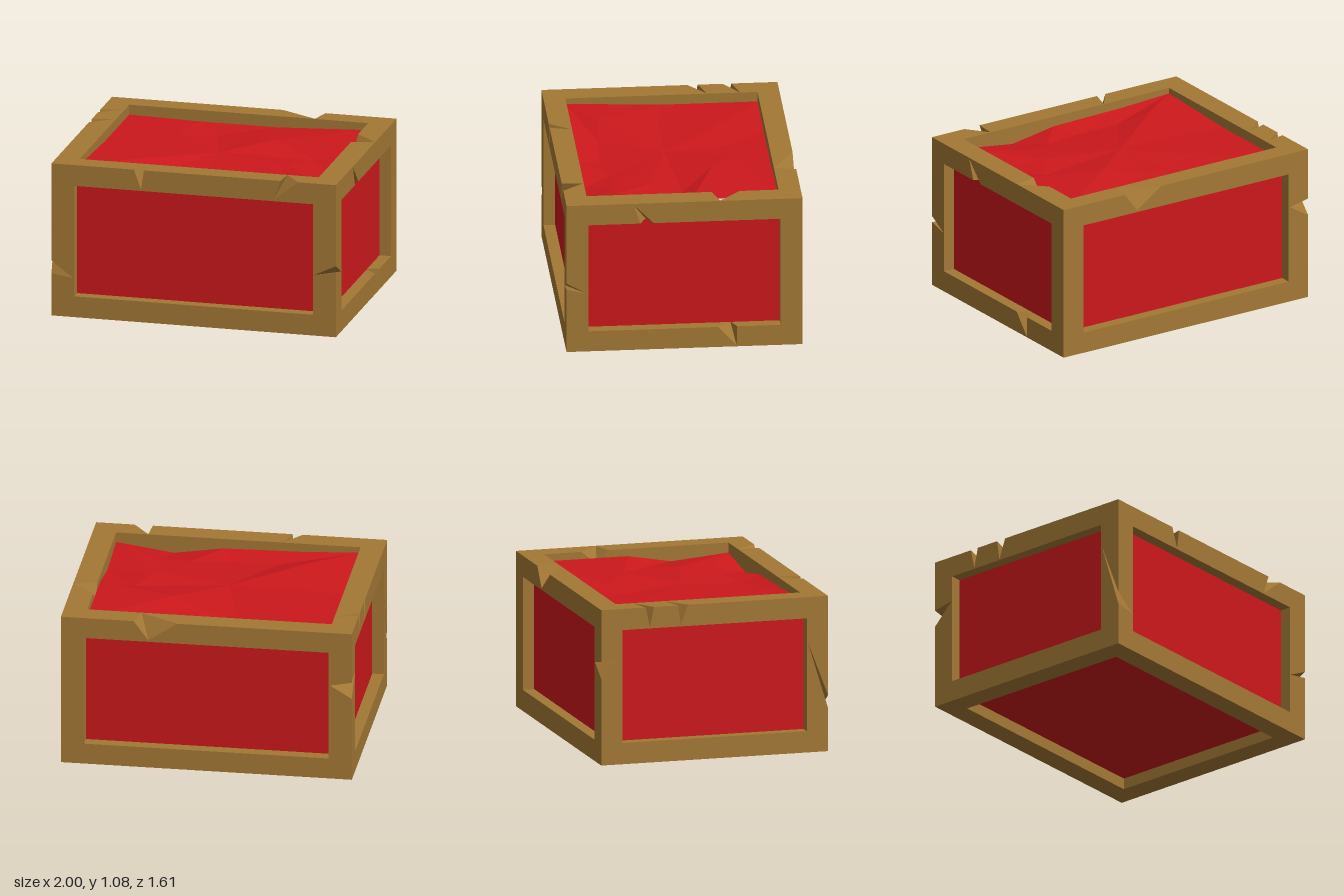
import * as THREE from 'three';

const V = (x, y, z) => new THREE.Vector3(x, y, z);
const H = V(1, 0.54, 0.805);          // half size of the frame
const O = V(0.84, 0.3925, 0.655);     // half size of the openings
const MID = V(0, 0.54, 0);
const AXES = ['x', 'y', 'z'];
const RECESS = 0.08, WALL = 0.14;

// Chips: p and q lie on an edge, a and b on the two faces that meet there
const [X, Y, Z] = [H.x, 1.08, H.z];
const [ox, yLo, yHi, oz] = [O.x, 0.54 - O.y, 0.54 + O.y, O.z];
const CHIPS = [
  // front top edge
  [V(-0.42, Y, Z), V(-0.35, Y, Z), V(-0.37, 0.94, Z), V(-0.31, Y, 0.66)],
  [V(0.61, Y, Z), V(0.735, Y, Z), V(0.56, 0.94, Z), V(0.62, Y, 0.66)],
  // back top edge
  [V(0.2, Y, -Z), V(0.5, Y, -Z), V(0.4, 0.945, -Z), V(0.465, Y, -0.66)],
  // side top edge
  [V(-X, Y, -0.49), V(-X, Y, -0.43), V(-0.845, Y, -0.535), V(-X, 0.94, -0.46)],
  [V(-X, Y, -0.26), V(-X, Y, -0.19), V(-0.845, Y, -0.31), V(-X, 0.94, -0.24)],
  // upright corners
  [V(X, 0.46, Z), V(X, 0.505, Z), V(0.845, 0.43, Z), V(X, 0.425, 0.66)],
  [V(-X, 0.3, Z), V(-X, 0.39, Z), V(-0.845, 0.275, Z), V(-X, 0.77, 0.66)],
  [V(-X, 0.6, -Z), V(-X, 0.72, -Z), V(-0.85, 0.69, -Z), V(-X, 0.75, -0.66)],
  // inner edges of the openings
  [V(X, yHi, 0.3), V(X, yHi, 0.21), V(X, 1.075, 0.35), V(X - 0.09, yHi, 0.26)],
  [V(X, yLo, -0.23), V(X, yLo, -0.36), V(X, 0.005, -0.355), V(X - 0.09, yLo, -0.32)],
  [V(ox, Y, -0.39), V(ox, Y, -0.2), V(0.995, Y, -0.24), V(ox, Y - 0.09, -0.28)],
];

const onSegment = (s, c, d) => Math.abs(s.distanceTo(c) + s.distanceTo(d) - c.distanceTo(d)) < 1e-6;

// Cut the chips out of a flat loop with normal n
function carve(loop, n) {
  const out = [];
  loop.forEach((c, i) => {
    const d = loop[(i + 1) % loop.length];
    out.push(c);
    CHIPS.filter(([p, q]) => onSegment(p, c, d) && onSegment(q, c, d))
      .sort((s, t) => s[0].distanceTo(c) - t[0].distanceTo(c))
      .forEach(([p, q, a, b]) => {
        const apex = Math.abs(a.clone().sub(c).dot(n)) < 1e-6 ? a : b;
        if (p.distanceTo(c) < q.distanceTo(c)) out.push(p, apex, q);
        else out.push(q, apex, p);
      });
  });
  return out;
}

// Add a triangle whose front looks along dir
function addTri(list, a, b, c, dir) {
  const n = b.clone().sub(a).cross(c.clone().sub(a));
  const pts = n.dot(dir) < 0 ? [a, c, b] : [a, b, c];
  pts.forEach((p) => list.push(p.x, p.y, p.z));
}

// Flat polygon, with an optional hole, facing n
function addFace(list, loop, n, hole = []) {
  const drop = AXES.findIndex((k) => Math.abs(n[k]) > 0.5);
  const [u, v] = AXES.filter((_, i) => i !== drop);
  const flat = (pts) => pts.map((p) => new THREE.Vector2(p[u], p[v]));
  const outer = carve(loop, n);
  const inner = hole.length ? carve(hole, n) : [];
  const all = [...outer, ...inner];
  THREE.ShapeUtils.triangulateShape(flat(outer), inner.length ? [flat(inner)] : [])
    .forEach(([i, j, k]) => addTri(list, all[i], all[j], all[k], n));
}

function makeMesh(list, name, color) {
  const geometry = new THREE.BufferGeometry();
  geometry.setAttribute('position', new THREE.Float32BufferAttribute(list, 3));
  geometry.computeVertexNormals();
  const mesh = new THREE.Mesh(geometry, new THREE.MeshStandardMaterial({ color, flatShading: true }));
  mesh.name = name;
  return mesh;
}

// Rectangle on one side of the crate, pushed in by depth
function sideRect(axis, sign, half, depth) {
  const [u, v] = AXES.filter((k) => k !== axis);
  return [[-1, -1], [1, -1], [1, 1], [-1, 1]].map(([i, j]) => {
    const p = V(0, 0, 0);
    p[axis] = sign * (H[axis] - depth);
    p[u] = i * half[u];
    p[v] = j * half[v];
    return p.add(MID);
  });
}

// Rumpled cover: centre, a ring of folds and the border, as [x, y, z]
const FOLDS = [
  [-0.4, 1.01, -0.3], [-0.15, 0.99, -0.4], [0.08, 1.01, -0.42], [0.3, 1.04, -0.25],
  [0.62, 0.99, -0.02], [0.5, 1.01, 0.2], [0.5, 1.0, 0.42], [0.3, 0.99, 0.45],
  [0.02, 0.98, 0.5], [-0.3, 0.99, 0.48], [-0.56, 1.04, 0.46], [-0.5, 1.01, 0.05],
];
const BORDER = [
  [-ox, 1.01, -oz], [-0.35, 1.0, -oz], [0.2, 1.0, -oz], [ox, 1.03, -oz],
  [ox, 1.03, -0.06], [ox, 0.975, 0.25], [ox, 1.01, oz], [0.44, 0.955, oz],
  [0.1, 1.01, oz], [-0.45, 1.02, oz], [-ox, 1.04, oz], [-ox, 1.01, 0],
];

function makeCover(color) {
  const list = [], up = V(0, 1, 0), centre = V(-0.03, 1.01, 0.05);
  const inner = FOLDS.map((p) => V(...p)), outer = BORDER.map((p) => V(...p));
  inner.forEach((p, i) => {
    const j = (i + 1) % inner.length;
    addTri(list, centre, p, inner[j], up);
    addTri(list, p, outer[i], outer[j], up);
    addTri(list, p, outer[j], inner[j], up);
  });
  return makeMesh(list, 'rumpledCover', color);
}

export function createModel() {
  const model = new THREE.Group();
  model.name = 'crate';
  const wood = 0xa37835, red = 0xcc181c;
  const frame = [];
  const panelNames = { x: ['sidePanelRight', 'sidePanelLeft'], y: ['bottomPanel'], z: ['backPanel', 'frontPanel'] };

  for (const axis of AXES) for (const sign of [-1, 1]) {
    const n = V(0, 0, 0);
    n[axis] = sign;
    const rim = sideRect(axis, sign, O, 0), deep = sideRect(axis, sign, O, WALL);
    // outer face of the frame
    addFace(frame, sideRect(axis, sign, H, 0), n, rim);
    // walls of the opening
    rim.forEach((p, i) => {
      const j = (i + 1) % 4;
      const [u, v] = AXES.filter((k) => k !== axis);
      const across = Math.abs(p[u] - rim[j][u]) < 1e-6 ? u : v;
      const inward = V(0, 0, 0);
      inward[across] = -Math.sign(p[across] - MID[across]);
      addFace(frame, [p, rim[j], deep[j], deep[i]], inward);
    });
    // recessed panel
    if (axis === 'y' && sign === 1) continue;
    const panel = [];
    addFace(panel, sideRect(axis, sign, O, RECESS), n);
    model.add(makeMesh(panel, panelNames[axis][sign < 0 ? 0 : 1], red));
  }

  // broken surfaces inside the chips
  for (const [p, q, a, b] of CHIPS) {
    addTri(frame, p, a, b, q.clone().sub(p));
    addTri(frame, q, a, b, p.clone().sub(q));
  }
  model.add(makeMesh(frame, 'woodenFrame', wood), makeCover(red));
  return model;
}
